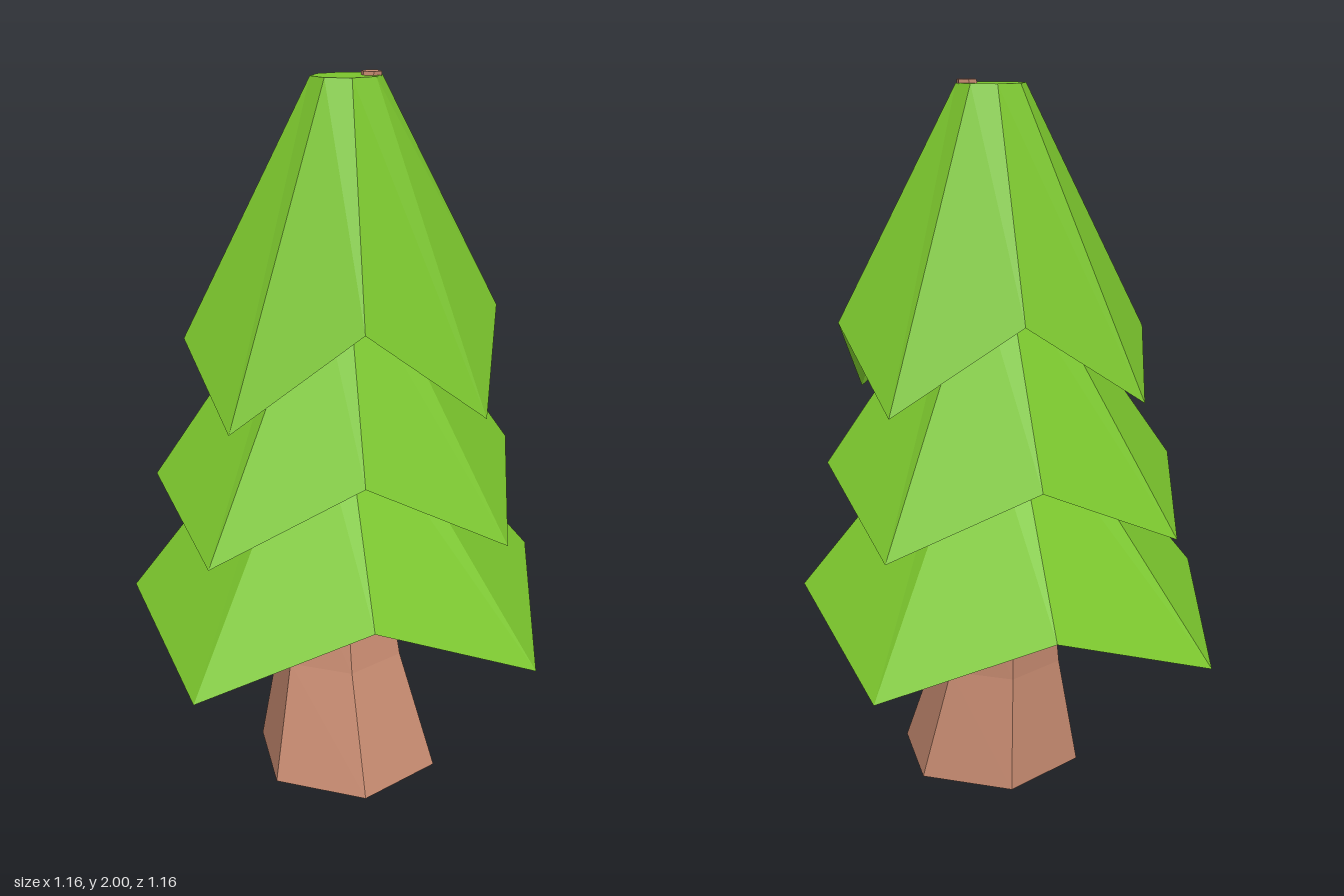
import * as THREE from 'three';

// Skins a stack of rings (each clockwise seen from above, lowest first).
function loft(rings, capBottom, capTop) {
  const n = rings[0].length, pos = [];
  const tri = (a, b, c) => pos.push(...a, ...b, ...c);
  for (let k = 0; k + 1 < rings.length; k++) {
    const b = rings[k], t = rings[k + 1];
    for (let i = 0; i < n; i++) {
      const j = (i + 1) % n;
      tri(b[i], t[i], t[j]);
      tri(b[i], t[j], b[j]);
    }
  }
  const first = rings[0], last = rings[rings.length - 1];
  for (let i = 1; i + 1 < n; i++) {
    if (capBottom) tri(first[0], first[i], first[i + 1]);
    if (capTop) tri(last[0], last[i + 1], last[i]);
  }
  const geo = new THREE.BufferGeometry();
  geo.setAttribute('position', new THREE.Float32BufferAttribute(pos, 3));
  geo.computeVertexNormals();
  return geo;
}

// Regular ring starting at the back (-z).
function ring(n, x, y, z, rx, rz = rx) {
  return Array.from({ length: n }, (_, i) => {
    const a = (i / n) * Math.PI * 2;
    return [x + rx * Math.sin(a), y, z - rz * Math.cos(a)];
  });
}

export function createModel() {
  const group = new THREE.Group();
  const leaf = new THREE.MeshStandardMaterial({ color: 0x7bc62d, flatShading: true, side: THREE.DoubleSide });
  const bark = new THREE.MeshStandardMaterial({ color: 0xc68a70, flatShading: true });
  const add = (name, geo, mat) => {
    const mesh = new THREE.Mesh(geo, mat);
    mesh.name = name;
    group.add(mesh);
  };

  // Bent six-sided trunk, tapering up to a tip that pokes through the crown
  add('trunk', loft([
    ring(6, 0.025, 0, 0.073, 0.272, 0.275),
    ring(6, 0.012, 0.33, 0.025, 0.188, 0.187),
    ring(6, 0.01, 0.65, -0.02, 0.145, 0.138),
    ring(6, 0.03, 1.2, 0, 0.09),
    ring(6, 0.095, 2, 0.03, 0.028),
  ], true, true), bark);

  // Skirts of foliage: zigzag hem (back, then clockwise from above) and top ring
  const tiers = [
    ['lowerFoliage', [
      [0, 0.62, -0.58], [0.46, 0.45, -0.47], [0.58, 0.61, 0.02], [0.46, 0.45, 0.505],
      [-0.005, 0.645, 0.577], [-0.47, 0.45, 0.505], [-0.58, 0.58, 0.02], [-0.47, 0.45, -0.47],
    ], ring(8, 0, 1.15, 0.02, 0.12), false],
    ['middleFoliage', [
      [-0.005, 0.97, -0.413], [0.4, 0.78, -0.33], [0.5, 0.96, 0.035], [0.4, 0.78, 0.4],
      [-0.005, 0.995, 0.452], [-0.41, 0.78, 0.4], [-0.508, 0.92, 0.035], [-0.41, 0.78, -0.33],
    ], ring(8, 0.01, 1.5, 0.03, 0.11), false],
    ['upperFoliage', [
      [0.012, 1.385, -0.29], [0.368, 1.15, -0.243], [0.457, 1.355, 0.038], [0.36, 1.11, 0.297],
      [0.013, 1.375, 0.352], [-0.336, 1.11, 0.297], [-0.42, 1.305, 0.038], [-0.336, 1.15, -0.243],
    ], ring(8, 0.028, 1.99, 0.028, 0.097, 0.075), true],
  ];
  for (const [name, hem, top, capped] of tiers) add(name, loft([hem, top], false, capped), leaf);

  return group;
}
